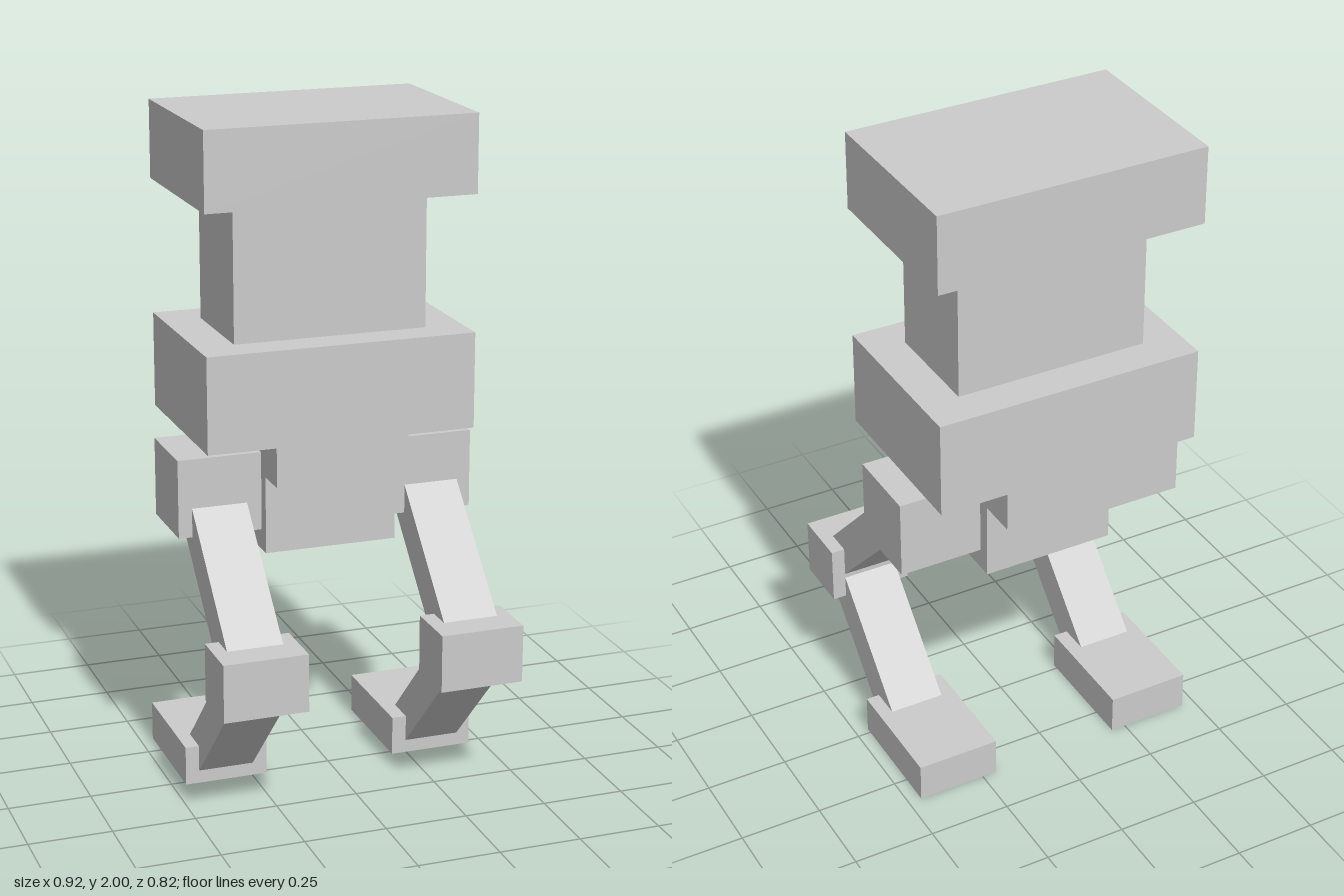
import * as THREE from 'three';

const material = new THREE.MeshStandardMaterial({ color: 0xcccccc, flatShading: true });

// Box given by its extents along each axis
function block(name, [x0, x1], [y0, y1], [z0, z1]) {
  const mesh = new THREE.Mesh(new THREE.BoxGeometry(x1 - x0, y1 - y0, z1 - z0), material);
  mesh.position.set((x0 + x1) / 2, (y0 + y1) / 2, (z0 + z1) / 2);
  mesh.name = name;
  return mesh;
}

// Slanted bar between two (y, z) points at a given x
function bar(name, x, [y0, z0], [y1, z1], width, thickness) {
  const length = Math.hypot(y1 - y0, z1 - z0);
  const mesh = new THREE.Mesh(new THREE.BoxGeometry(width, length, thickness), material);
  mesh.position.set(x, (y0 + y1) / 2, (z0 + z1) / 2);
  mesh.rotation.x = Math.atan2(z1 - z0, y1 - y0);
  mesh.name = name;
  return mesh;
}

export function createModel() {
  const model = new THREE.Group();
  model.name = 'walkingRobot';

  // Head, neck and stepped body
  const front = 0.13, back = -0.413;
  model.add(
    block('head', [-0.41, 0.41], [1.765, 2], [back, front]),
    block('neck', [-0.295, 0.295], [1.355, 1.765], [-0.302, 0.025]),
    block('chest', [-0.41, 0.41], [1.065, 1.355], [back, front]),
    block('waist', [-0.203, 0.203], [0.945, 1.065], [back, front]),
    block('pelvis', [-0.203, 0.203], [0.71, 0.945], [-0.292, 0.025]),
  );

  // Backward-folding legs, mirrored in x
  for (const side of [1, -1]) {
    const leg = new THREE.Group();
    leg.name = side > 0 ? 'leftLeg' : 'rightLeg';
    const across = side > 0 ? [0.204, 0.459] : [-0.459, -0.204];
    const x = side * 0.333;
    leg.add(
      block('hip', across, [0.773, 1.012], [-0.253, -0.012]),
      bar('thigh', x, [0.883, -0.12], [0.445, 0.318], 0.169, 0.122),
      block('knee', across, [0.36, 0.536], [0.234, 0.411]),
      bar('shin', x, [0.43, 0.322], [0.075, -0.033], 0.169, 0.122),
      block('foot', across, [0, 0.12], [-0.347, 0.018]),
    );
    model.add(leg);
  }
  return model;
}
